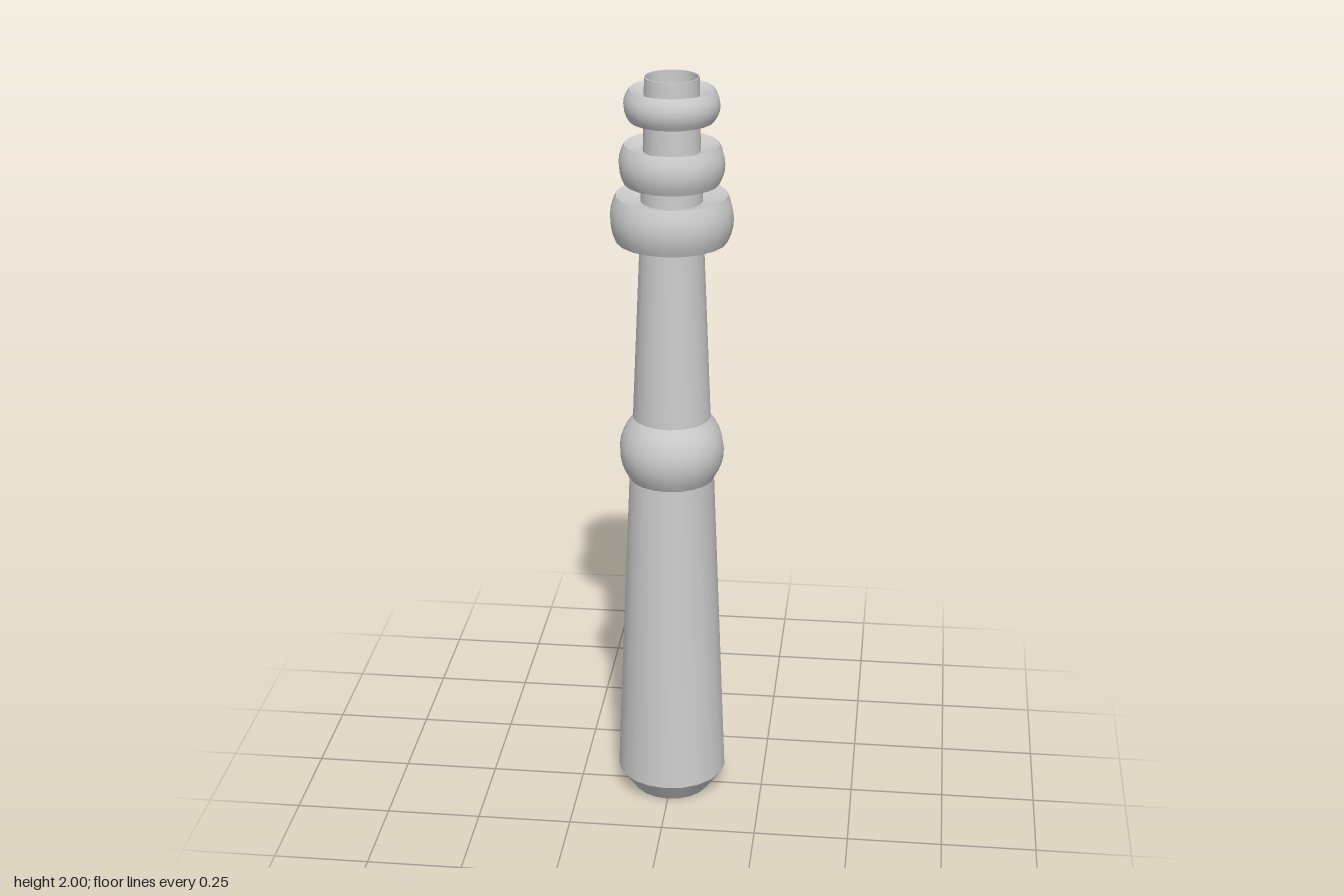
import * as THREE from 'three';
import { toCreasedNormals } from 'three/addons/utils/BufferGeometryUtils.js';

const SIDES = 20;
const material = new THREE.MeshStandardMaterial({ color: 0xcccccc, side: THREE.DoubleSide });

// Turned part from [radius, height] points, listed bottom to top
function turned(name, profile) {
  const points = profile.map(([r, y]) => new THREE.Vector2(r, y));
  const geometry = toCreasedNormals(new THREE.LatheGeometry(points, SIDES), 0.6);
  const mesh = new THREE.Mesh(geometry, material);
  mesh.name = name;
  return mesh;
}

// Side curve bulging from r0 at y0 out to rMid and back to r1 at y1
function bulge(y0, y1, r0, rMid, r1, steps = 6) {
  const side = [];
  for (let i = 0; i <= steps; i++) {
    const t = i / steps;
    const base = r0 + (r1 - r0) * t;
    const height = rMid - (r0 + r1) / 2;
    side.push([base + height * (1 - (2 * t - 1) ** 2), y0 + (y1 - y0) * t]);
  }
  return side;
}

// Rounded ring with a flat underside and a dished top
function collar(name, y0, y1, rEnd, rMid, rNeck) {
  return turned(name, [
    [rNeck - 0.01, y0],
    ...bulge(y0, y1, rEnd, rMid, rEnd),
    [rNeck - 0.01, y1 - 0.02],
  ]);
}

export function createModel() {
  const model = new THREE.Group();
  model.name = 'turnedHandle';

  model.add(
    // Tapered grip with a chamfered foot
    turned('grip', [[0, 0], [0.103, 0], [0.147, 0.06], [0.112, 0.93]]),
    // Round swelling between grip and shaft
    turned('middleKnob', bulge(0.93, 1.1, 0.112, 0.137, 0.102, 8)),
    turned('upperShaft', [[0.102, 1.1], [0.082, 1.58]]),
    // Stepped necks showing between the collars
    turned('lowerNeck', [[0.082, 1.58], [0.077, 1.76]]),
    // Top neck ends in a shallow recess
    turned('topNeck', [[0.074, 1.76], [0.069, 2], [0.066, 2], [0.066, 1.96], [0, 1.96]]),
    collar('largeCollar', 1.58, 1.7, 0.142, 0.157, 0.078),
    collar('middleCollar', 1.73, 1.83, 0.12, 0.134, 0.073),
    collar('smallCollar', 1.89, 1.97, 0.106, 0.121, 0.07),
  );
  return model;
}
